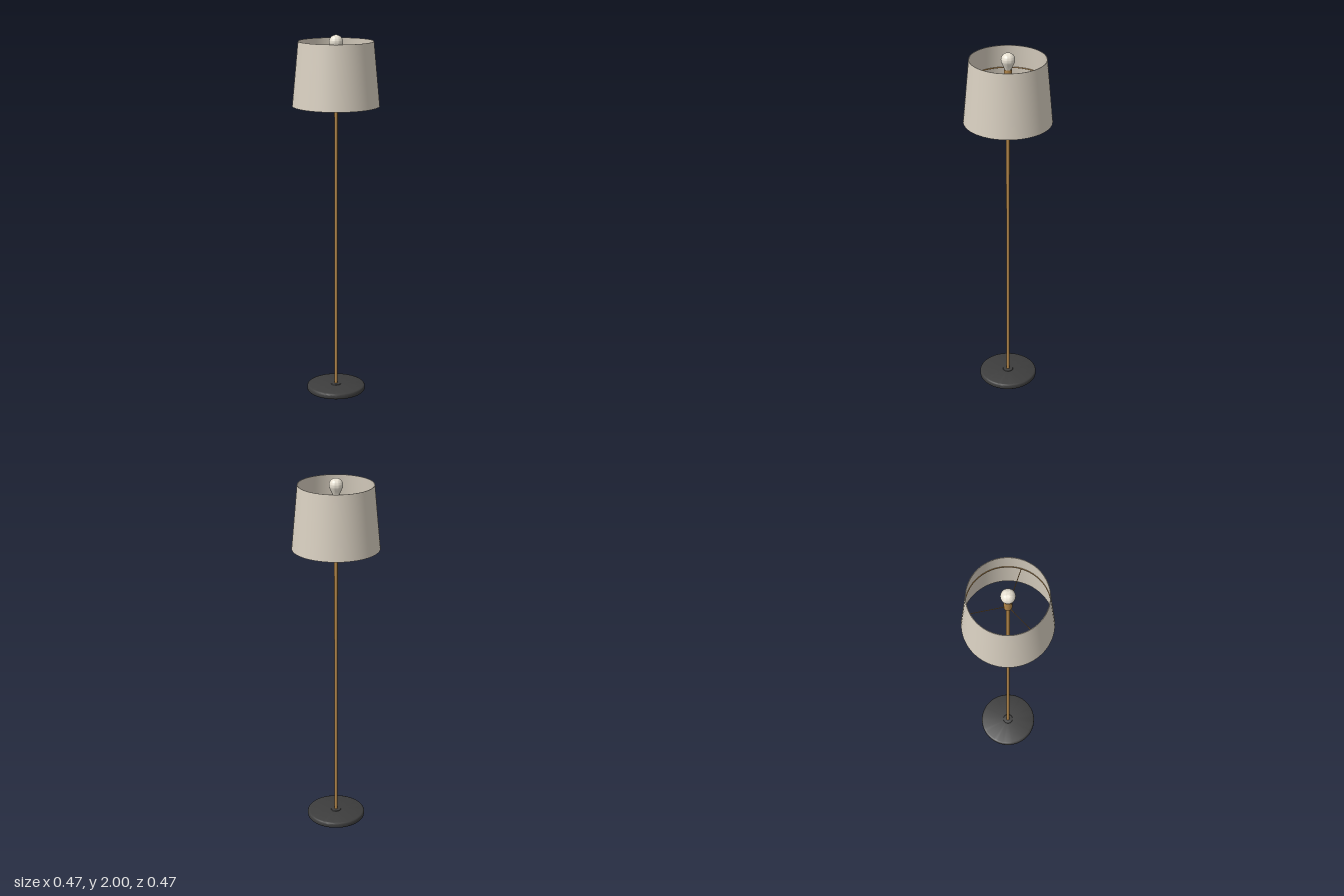
import * as THREE from 'three';
import { toCreasedNormals } from 'three/addons/utils/BufferGeometryUtils.js';

const material = (name, color, side = THREE.FrontSide) => {
  const m = new THREE.MeshStandardMaterial({ color, side });
  m.name = name;
  return m;
};

// Surface of revolution; profile runs upward on its outer side
const lathe = (profile, segments, crease = 0.6) =>
  toCreasedNormals(new THREE.LatheGeometry(profile.map(([r, y]) => new THREE.Vector2(r, y)), segments), crease);

export function createModel() {
  const lamp = new THREE.Group();
  lamp.name = 'floorLamp';
  const iron = material('dark iron', 0x3d3d3d);
  const brass = material('brass', 0xb08448);
  const linen = material('linen', 0xd8cfc0, THREE.DoubleSide);
  const glass = material('bulb glass', 0xf0e9da);

  const add = (name, geometry, mat, parent = lamp) => {
    const mesh = new THREE.Mesh(geometry, mat);
    mesh.name = name;
    parent.add(mesh);
    return mesh;
  };

  // Round weighted base with softened edges and a low collar
  add('base', lathe([
    [0, 0], [0.152, 0], [0.158, 0.002], [0.162, 0.006], [0.163, 0.011],
    [0.163, 0.022], [0.162, 0.027], [0.158, 0.031], [0.152, 0.033], [0, 0.033],
  ], 64), iron);
  add('baseCollar', lathe([[0.03, 0.032], [0.028, 0.036], [0.012, 0.038], [0, 0.038]], 32), iron);

  // Pole and bulb socket
  const pole = add('pole', new THREE.CylinderGeometry(0.0095, 0.0095, 1.815, 24), brass);
  pole.position.y = 0.03 + 1.815 / 2;
  const socket = add('socket', new THREE.CylinderGeometry(0.021, 0.021, 0.08, 24), brass);
  socket.position.y = 1.872;

  // Bulb: round globe narrowing into the socket
  const bulb = [[0.018, 1.905], [0.021, 1.918], [0.028, 1.935]];
  for (let i = 0; i <= 12; i++) {
    const a = -0.4 + (Math.PI / 2 + 0.4) * i / 12;
    bulb.push([Math.max(0, 0.037 * Math.cos(a)), 1.963 + 0.037 * Math.sin(a)]);
  }
  add('bulb', lathe(bulb, 32, 1.2), glass);

  // Tapered drum shade, thin walled and open at both ends
  add('shade', lathe([
    [0.235, 1.622], [0.202, 1.967], [0.199, 1.967], [0.232, 1.622], [0.235, 1.622],
  ], 72), linen);

  // Wire ring and three spokes that carry the shade
  const spider = new THREE.Group();
  spider.name = 'shadeCarrier';
  spider.position.y = 1.84;
  lamp.add(spider);
  add('carrierRing', new THREE.TorusGeometry(0.21, 0.003, 8, 72).rotateX(Math.PI / 2), brass, spider);
  for (let i = 0; i < 3; i++) {
    const spoke = add('spoke', new THREE.CylinderGeometry(0.002, 0.002, 0.2, 8)
      .rotateZ(Math.PI / 2).translate(0.11, 0, 0), brass, spider);
    spoke.rotation.y = -THREE.MathUtils.degToRad(17 + 120 * i);
  }
  return lamp;
}
